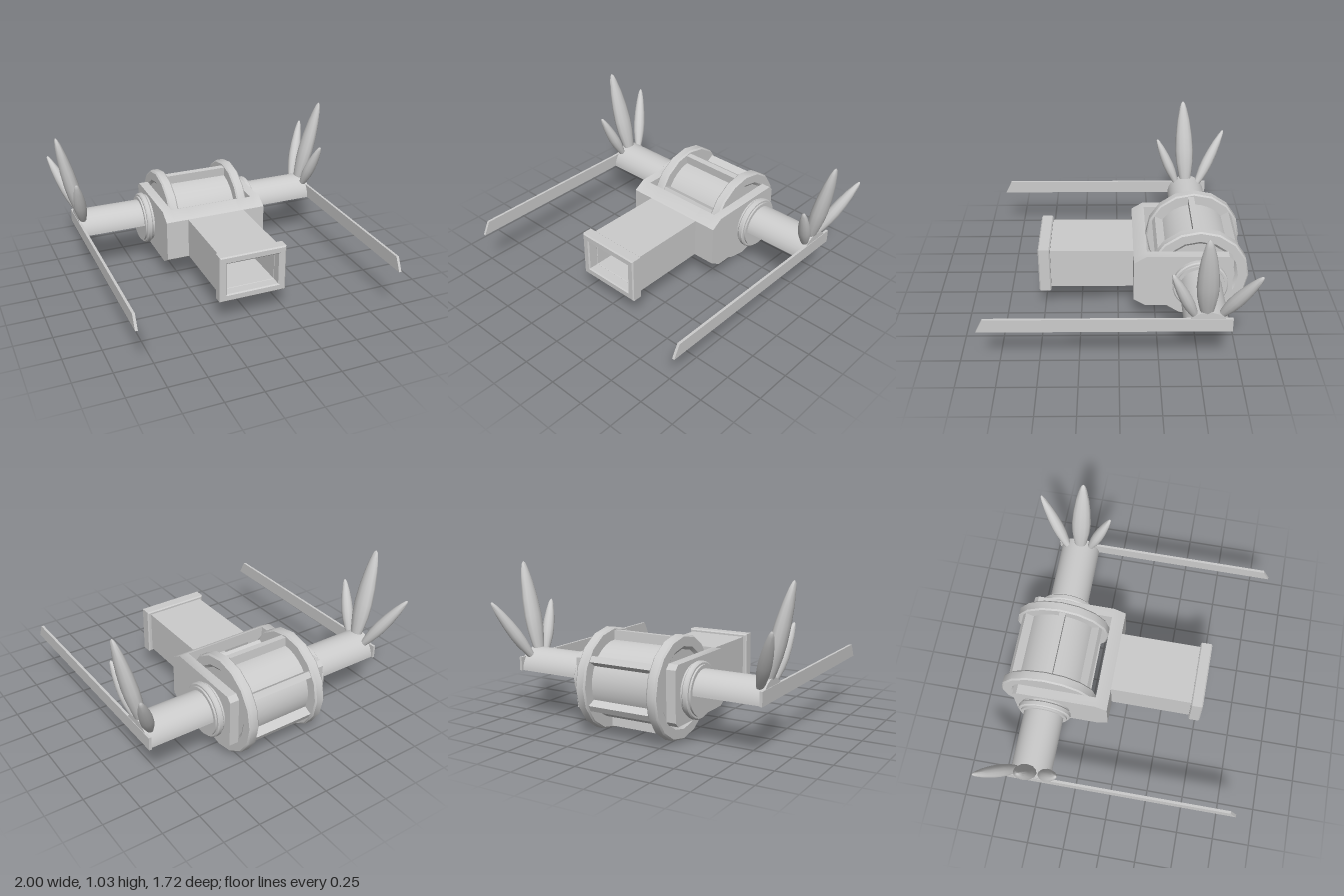
import * as THREE from 'three';
import { toCreasedNormals } from 'three/addons/utils/BufferGeometryUtils.js';

const AXLE_Y = 0.335, AXLE_Z = -0.53;

export function createModel() {
  const root = new THREE.Group();
  const mat = new THREE.MeshStandardMaterial({ color: 0xcccccc });

  const add = (parent, name, geo, crease = 0.6) => {
    const mesh = new THREE.Mesh(toCreasedNormals(geo, crease), mat);
    mesh.name = name;
    parent.add(mesh);
    return mesh;
  };
  const polygon = (pts) => new THREE.Shape(pts.map(([a, b]) => new THREE.Vector2(a, b)));

  // Side profile given as [z, y], extruded across x from x0 to x1
  const extrudeX = (shape, x0, x1) =>
    new THREE.ExtrudeGeometry(shape, { depth: x1 - x0, bevelEnabled: false, curveSegments: 16 })
      .rotateY(-Math.PI / 2).translate(x1, 0, 0);

  // Profile given as [radius, x], turned about the axle
  const turnX = (pts, sides) =>
    new THREE.LatheGeometry(pts.map(([r, x]) => new THREE.Vector2(r, x)), sides)
      .rotateZ(-Math.PI / 2).translate(0, AXLE_Y, AXLE_Z);

  // Rectangular tube running along z
  const tubeZ = (hw, y0, y1, z0, z1) => {
    const s = polygon([[-hw, y0], [hw, y0], [hw, y1], [-hw, y1]]);
    s.holes.push(new THREE.Path([[-0.18, 0.225], [-0.18, 0.445], [0.18, 0.445], [0.18, 0.225]]
      .map(([a, b]) => new THREE.Vector2(a, b))));
    return new THREE.ExtrudeGeometry(s, { depth: z1 - z0 - 0.016, bevelEnabled: true, bevelSegments: 1,
      bevelSize: 0.008, bevelThickness: 0.008, bevelOffset: -0.008 }).translate(0, 0, z0 + 0.008);
  };

  // Open duct and its front collar
  add(root, 'duct', tubeZ(0.205, 0.195, 0.475, -0.12, 0.46));
  add(root, 'ductCollar', tubeZ(0.23, 0.175, 0.495, 0.45, 0.53));

  // Yoke crosspiece, split around the duct opening
  add(root, 'yokeTop', extrudeX(polygon(
    [[-0.185, 0.445], [-0.1, 0.445], [-0.1, 0.475], [-0.18, 0.525], [-0.185, 0.525]]), -0.18, 0.18));
  add(root, 'yokeBottom', extrudeX(polygon(
    [[-0.185, 0.145], [-0.18, 0.145], [-0.1, 0.195], [-0.1, 0.225], [-0.185, 0.225]]), -0.18, 0.18));

  // Drum and the ribs around it
  add(root, 'drum', turnX([[0, -0.275], [0.25, -0.275], [0.25, 0.275], [0, 0.275]], 32));
  for (let i = 0; i < 6; i++) {
    const rib = add(root, 'drumRib', new THREE.BoxGeometry(0.44, 0.09, 0.042).translate(0, 0.265, 0));
    rib.position.set(0, AXLE_Y, AXLE_Z);
    rib.rotation.x = THREE.MathUtils.degToRad(4 + i * 60);
  }

  // Leaf: pointed spindle from base to tip, flattened across x
  const leafProfile = [[0, 0], [0.5, 0.01], [0.72, 0.12], [0.95, 0.28], [1, 0.42], [0.9, 0.6],
    [0.68, 0.78], [0.4, 0.92], [0.2, 0.98], [0, 1]];
  const leaf = (parent, name, base, tip, rx, rz) => {
    const a = new THREE.Vector3(...base), dir = new THREE.Vector3(...tip).sub(a);
    const geo = new THREE.LatheGeometry(leafProfile.map(([r, h]) => new THREE.Vector2(r, h)), 12)
      .scale(rx, dir.length(), rz);
    const mesh = add(parent, name, geo, 0.9);
    mesh.position.copy(a);
    mesh.quaternion.setFromUnitVectors(new THREE.Vector3(0, 1, 0), dir.normalize());
  };

  for (const s of [1, -1]) {
    const side = new THREE.Group();
    side.name = s > 0 ? 'leftSide' : 'rightSide';
    side.scale.x = s;
    root.add(side);

    // Rim ring of the drum
    add(side, 'drumRim', turnX([[0.24, 0.22], [0.32, 0.22], [0.33, 0.23], [0.33, 0.28],
      [0.32, 0.29], [0.26, 0.29], [0.24, 0.275], [0.24, 0.22]], 16), 0.5);

    // Yoke shoulder and arm
    add(side, 'yokeShoulder', extrudeX(polygon([[-0.185, 0.145], [-0.18, 0.145], [-0.1, 0.195],
      [-0.1, 0.475], [-0.18, 0.525], [-0.185, 0.525]]), 0.18, 0.3));
    add(side, 'yokeArm', extrudeX(polygon([[-0.18, 0.145], [-0.1, 0.195], [-0.1, 0.475], [-0.18, 0.525],
      [-0.715, 0.525], [-0.745, 0.495], [-0.745, 0.175], [-0.715, 0.145]].reverse()), 0.295, 0.36));

    // Stepped washer
    add(side, 'washer', turnX([[0, 0.355], [0.165, 0.355], [0.165, 0.375], [0.172, 0.375], [0.18, 0.383],
      [0.18, 0.408], [0.172, 0.415], [0.16, 0.415], [0.16, 0.427], [0, 0.427]], 32));

    // Half-round shaft, flat underneath
    const half = new THREE.Shape();
    half.absarc(AXLE_Z, AXLE_Y, 0.137, 0, Math.PI, false);
    half.closePath();
    add(side, 'shaft', extrudeX(half, 0.42, 0.882));

    // Long thin blade with slanted tip
    add(side, 'blade', extrudeX(polygon(
      [[-0.68, 0.335], [0.86, 0.335], [0.815, 0.425], [-0.68, 0.425]]), 0.868, 0.885));

    // Three leaves
    leaf(side, 'middleLeaf', [0.84, 0.42, -0.525], [0.985, 1.04, -0.495], 0.05, 0.067);
    leaf(side, 'backLeaf', [0.835, 0.42, -0.61], [0.995, 0.8, -0.81], 0.042, 0.042);
    leaf(side, 'frontLeaf', [0.85, 0.425, -0.455], [0.91, 0.765, -0.305], 0.042, 0.038);
  }
  return root;
}
